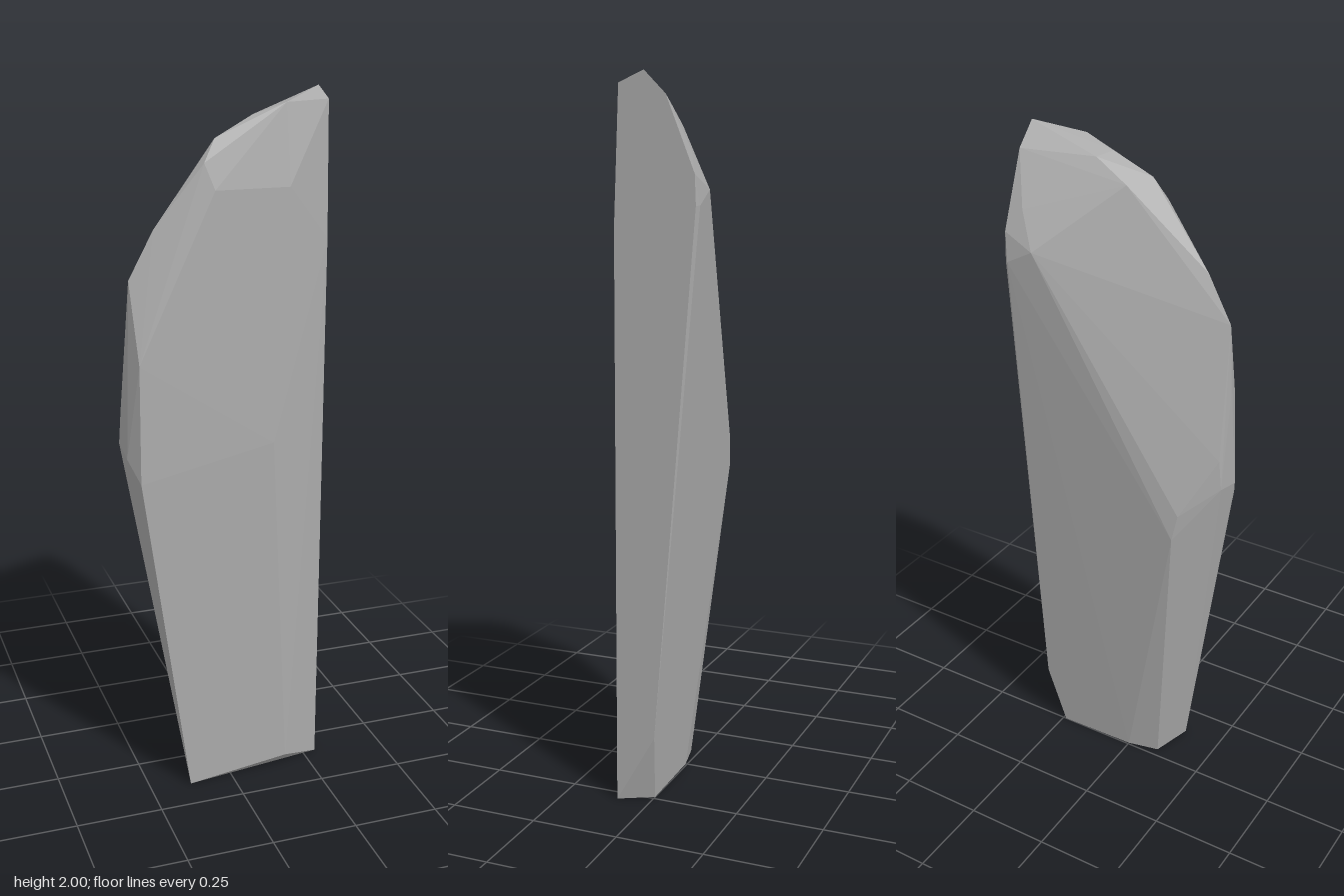
import * as THREE from 'three';
import { ConvexGeometry } from 'three/addons/geometries/ConvexGeometry.js';

const points = (list) => list.map((p) => new THREE.Vector3(...p));

export function createModel() {
  const group = new THREE.Group();
  group.name = 'standingStone';
  const stone = new THREE.MeshStandardMaterial({ color: 0xaaaaaa, flatShading: true });
  stone.name = 'stone grey';

  // Flat cleaved side, one outline in the plane x = 0.29
  const cleavedSide = points([
    [0.29, 2, 0], [0.29, 1.97, 0.072], [0.29, 1.6, 0.088], [0.29, 0, 0.095],
    [0.29, 0.2, -0.02], [0.29, 1.66, -0.143], [0.29, 1.74, -0.14], [0.29, 1.94, -0.06],
  ]);

  // Broad front face, leaning back towards the top
  const frontFace = points([
    [-0.13, 0, 0.15], [0.17, 0.04, 0.15], [0.06, 0.6, 0.15], [-0.05, 0.7, 0.15],
    [-0.265, 0.97, 0.15], [0.12, 1.05, 0.147], [-0.26, 1.3, 0.135],
    [-0.04, 1.75, 0.112], [0.17, 1.75, 0.112],
  ]);

  // Rounded shoulder and crown
  const crown = points([
    [-0.27, 1.52, 0.075], [-0.2, 1.65, 0.075], [-0.065, 1.82, 0.095], [-0.03, 1.88, 0.075],
    [0.08, 1.935, 0.06], [0.17, 1.965, 0.074], [0.01, 1.87, 0.008], [0.1, 1.93, 0.008],
  ]);

  // Bulging left edge and sloping back
  const backAndEdge = points([
    [-0.29, 1.03, 0.1], [-0.28, 1.32, 0.075], [-0.29, 1.05, 0.015], [-0.283, 1.14, 0.012],
    [-0.195, 0.97, -0.058], [-0.18, 0.89, -0.064], [0.205, 1.7, -0.148],
    [0.28, 1.66, -0.151], [0.25, 1.8, -0.115],
  ]);

  // Foot
  const foot = points([[-0.095, 0, 0.026], [0, 0, 0.005], [0.24, 0, 0]]);

  const mesh = new THREE.Mesh(
    new ConvexGeometry([...cleavedSide, ...frontFace, ...crown, ...backAndEdge, ...foot]), stone);
  mesh.name = 'stoneSlab';
  group.add(mesh);
  return group;
}
